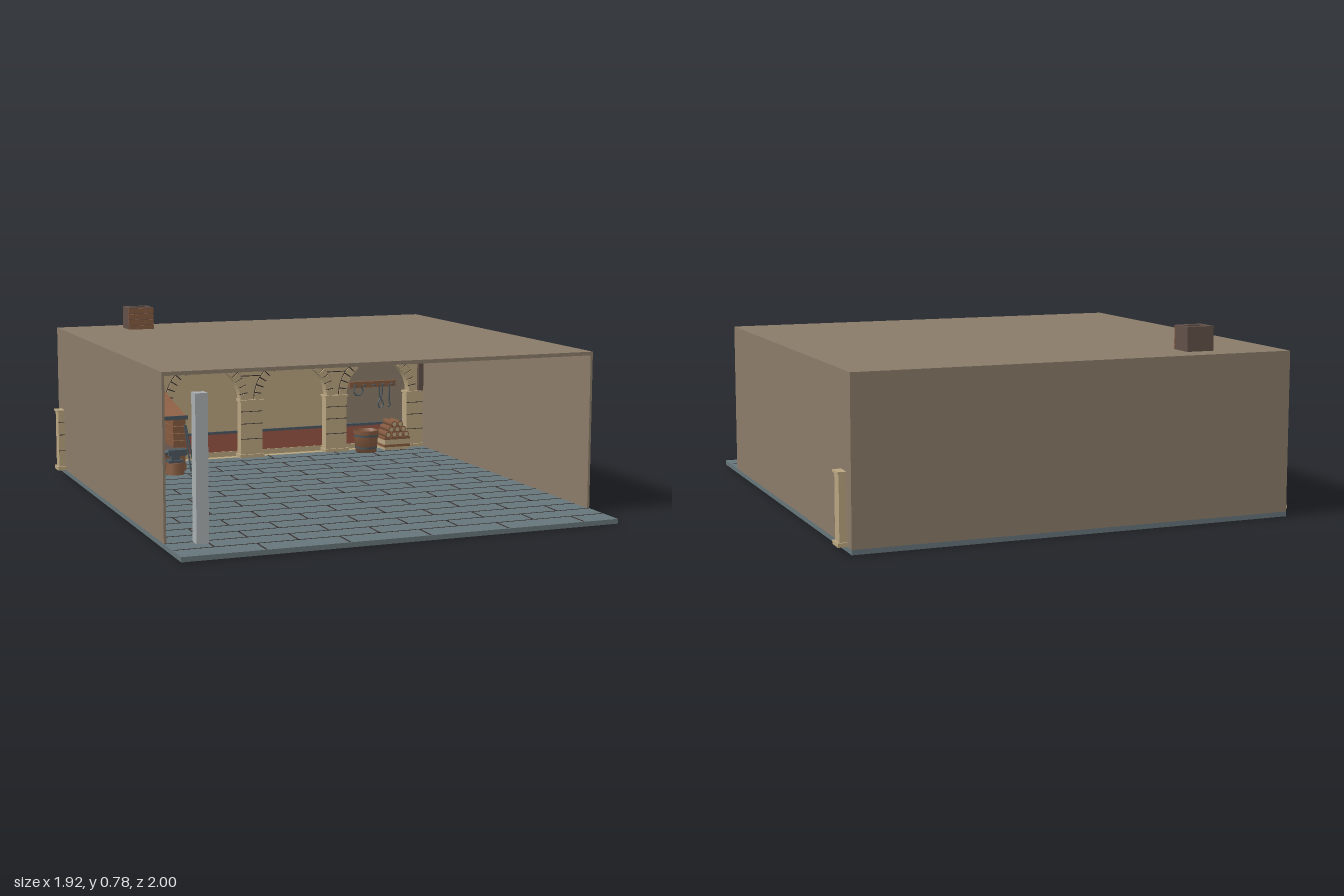
import * as THREE from 'three';

const mat = (name, color) => {
  const m = new THREE.MeshStandardMaterial({ color, side: THREE.DoubleSide });
  m.name = name;
  return m;
};

export function createModel() {
  const M = {
    wall: mat('brown plaster', 0x8a7b69),
    tan: mat('sandstone', 0xb8a47f),
    copper: mat('copper brick', 0x9c694b),
    brick: mat('brick and timber', 0x845a40),
    seam: mat('dark joint', 0x3a3230),
    floor: mat('slate floor', 0x66757a),
    post: mat('grey post', 0xa9aeb0),
    red: mat('red dado', 0x985546),
    iron: mat('iron', 0x4c585f),
    mortar: mat('sooty brick', 0x625049),
  };
  const root = new THREE.Group();

  const add = (name, geo, m, x = 0, y = 0, z = 0, parent = root) => {
    const mesh = new THREE.Mesh(geo, m);
    mesh.name = name;
    mesh.position.set(x, y, z);
    parent.add(mesh);
    return mesh;
  };
  // Box given by its limits on each axis
  const box = (name, m, x0, x1, y0, y1, z0, z1, parent = root) =>
    add(name, new THREE.BoxGeometry(x1 - x0, y1 - y0, z1 - z0), m,
      (x0 + x1) / 2, (y0 + y1) / 2, (z0 + z1) / 2, parent);
  const group = (name, x = 0, y = 0, z = 0) => {
    const g = new THREE.Group();
    g.name = name;
    g.position.set(x, y, z);
    root.add(g);
    return g;
  };
  const rect = (P, x0, x1, y0, y1) => {
    const p = new P();
    p.moveTo(x0, y0); p.lineTo(x1, y0); p.lineTo(x1, y1); p.lineTo(x0, y1); p.closePath();
    return p;
  };
  const extrude = (shape, depth) =>
    new THREE.ExtrudeGeometry(shape, { depth, bevelEnabled: false, curveSegments: 20 });
  // Horizontal slab with a flue hole, extruded upwards; shape y runs along -z
  const holed = (name, m, outer, hole, y0, y1) => {
    const s = rect(THREE.Shape, ...outer);
    s.holes.push(rect(THREE.Path, ...hole));
    return add(name, extrude(s, y1 - y0).rotateX(-Math.PI / 2), m, 0, y0, 0);
  };
  const flue = [-0.615, -0.535, 0.81, 0.87];

  // Floor slab with staggered paving joints
  box('floor', M.floor, -0.925, 0.925, 0, 0.02, -1, 1);
  const paving = group('pavingJoints');
  for (let r = 0; r < 17; r++) {
    const z = 1 - r * 0.113;
    if (r) box('rowJoint', M.seam, -0.92, 0.92, 0.02, 0.0215, z - 0.002, z + 0.002, paving);
    for (let x = -0.92 + (r % 2 ? 0.16 : 0.33); x < 0.92; x += 0.34)
      box('crossJoint', M.seam, x - 0.003, x + 0.003, 0.02, 0.0215, z - 0.105, z - 0.005, paving);
  }

  // Outer shell
  for (const s of [-1, 1])
    box('sideWall', M.wall, s * 0.92 - 0.005, s * 0.92 + 0.005, 0.02, 0.665, -1, 0.77);
  box('backWall', M.wall, -0.915, 0.915, 0.02, 0.665, -1, -0.985);
  holed('roof', M.wall, [-0.925, 0.925, -0.77, 1], flue, 0.665, 0.68);
  box('frontPost', M.post, -0.81, -0.76, 0.02, 0.6, 0.77, 0.82);

  // Arcade wall with four round arches
  const arches = [-0.67, -0.225, 0.225, 0.67];
  const arcade = rect(THREE.Shape, -0.9, 0.9, 0.02, 0.664);
  for (const x of arches) {
    const h = new THREE.Path();
    h.moveTo(x - 0.17, 0.021);
    h.lineTo(x + 0.17, 0.021);
    h.lineTo(x + 0.17, 0.3);
    h.absarc(x, 0.3, 0.17, 0, Math.PI, false);
    h.closePath();
    arcade.holes.push(h);
  }
  add('arcadeWall', extrude(arcade, 0.04), M.tan, 0, 0, -0.94);

  // Voussoirs over a dark joint ring
  const sector = (r0, r1, a0, a1) => {
    const s = new THREE.Shape();
    s.absarc(0, 0, r1, a0, a1, false);
    s.absarc(0, 0, r0, a1, a0, true);
    s.closePath();
    return s;
  };
  arches.forEach((x) => {
    const g = group('archRing', x, 0.3, -0.9);
    add('archJoints', extrude(sector(0.172, 0.211, 0, Math.PI), 0.006), M.seam, 0, 0, 0, g);
    const n = 17, step = Math.PI / n;
    for (let i = 0; i < n; i++)
      add('voussoir', extrude(sector(0.17, 0.209, i * step + 0.014, (i + 1) * step - 0.014), 0.012),
        M.tan, 0, 0, 0, g);
  });

  // Pillars with base, capital and course joints
  for (const x of [-0.89, -0.445, 0, 0.445, 0.89]) {
    const g = group('pillar', x, 0, 0);
    const w = Math.abs(x) > 0.8 ? 0.064 : 0.055;
    box('shaft', M.tan, -w, w, 0.02, 0.3, -0.94, -0.885, g);
    box('base', M.tan, -w - 0.008, w + 0.008, 0.02, 0.036, -0.948, -0.875, g);
    box('capital', M.tan, -w - 0.006, w + 0.006, 0.294, 0.304, -0.945, -0.877, g);
    for (const y of [0.11, 0.185, 0.245])
      box('courseJoint', M.seam, -w, w, y, y + 0.003, -0.886, -0.884, g);
  }
  for (const s of [-1, 1])
    box('cornerStrip', M.mortar, s * 0.9025 - 0.0125, s * 0.9025 + 0.0125, 0.3, 0.664, -0.94, -0.88);

  // Scattered masonry joints on the upper wall
  const joints = group('wallJoints');
  const courses = [[-0.45, -0.02, 0.632], [0, 0.45, 0.632], [-0.88, -0.65, 0.58], [-0.32, 0, 0.578],
    [0.12, 0.44, 0.58], [-0.46, -0.3, 0.525], [0.0, 0.12, 0.528], [0.55, 0.89, 0.525], [-0.06, 0.08, 0.49],
    [-0.06, 0.06, 0.42], [0.4, 0.5, 0.42], [-0.88, -0.8, 0.49]];
  for (const [a, b, y] of courses)
    box('bedJoint', M.seam, a, b, y - 0.002, y + 0.002, -0.9, -0.898, joints);
  for (let i = 0; i < 30; i++) {
    const x = -0.86 + i * 0.0593, y = 0.53 + ((i * 37) % 11) * 0.011;
    box('headJoint', M.seam, x - 0.003, x + 0.003, y, y + 0.02, -0.9, -0.898, joints);
  }

  // Recess panels and red dado
  box('recessPanel', M.tan, -0.445, 0.445, 0.02, 0.5, -0.965, -0.955);
  box('recessPlinth', M.tan, -0.9, 0.9, 0.02, 0.045, -0.97, -0.945);
  box('dado', M.red, -0.9, 0.9, 0.045, 0.133, -0.97, -0.95);
  box('dadoCap', M.iron, -0.9, 0.9, 0.133, 0.145, -0.97, -0.945);

  // Chimney: sooty flue, brick facing and collar
  holed('chimney', M.mortar, [-0.635, -0.517, 0.785, 0.89], flue, 0.46, 0.78);
  const facing = group('chimneyBricks', -0.576, 0, -0.782);
  for (let i = 0; i < 12; i++) {
    const y = 0.463 + i * 0.0265, split = i % 2 ? 0.02 : -0.02;
    box('brick', M.brick, -0.059, split - 0.002, y, y + 0.0235, -0.004, 0.004, facing);
    box('brick', M.brick, split + 0.002, 0.059, y, y + 0.0235, -0.004, 0.004, facing);
  }
  box('chimneyCollar', M.tan, -0.655, -0.5, 0.65, 0.663, -0.9, -0.77);

  // Open hood, tapering from hearth to chimney
  const hoodGeo = new THREE.BoxGeometry(1, 1, 1, 1, 6, 1);
  const p = hoodGeo.attributes.position;
  const lerp = THREE.MathUtils.lerp;
  for (let i = 0; i < p.count; i++) {
    const t = p.getY(i) + 0.5, k = 1 - Math.pow(1 - t, 1.3);
    p.setXYZ(i, p.getX(i) * lerp(0.35, 0.12, k), 0.28 + t * 0.19,
      p.getZ(i) * lerp(0.25, 0.11, k) + lerp(-0.775, -0.836, k));
  }
  const idx = [...hoodGeo.index.array];
  const caps = hoodGeo.groups.filter((g) => g.materialIndex === 2 || g.materialIndex === 3);
  hoodGeo.setIndex(idx.filter((_, i) => !caps.some((c) => i >= c.start && i < c.start + c.count)));
  hoodGeo.clearGroups();
  const flatHood = hoodGeo.toNonIndexed();
  flatHood.computeVertexNormals();
  add('hood', flatHood, M.copper, -0.576);
  holed('hoodRim', M.iron, [-0.755, -0.397, 0.645, 0.903], [-0.735, -0.417, 0.665, 0.885], 0.265, 0.283);

  // Brick hearth
  const hearth = group('hearth', -0.576, 0, 0);
  box('hearthCore', M.mortar, -0.172, 0.172, 0.02, 0.125, -0.895, -0.664, hearth);
  box('hearthBack', M.mortar, -0.17, 0.17, 0.125, 0.265, -0.9, -0.885, hearth);
  for (let r = 0; r < 3; r++)
    for (let i = 0; i < 4; i++) {
      const a = Math.max(-0.175, -0.175 + (i - (r % 2) * 0.5) * 0.1);
      const b = Math.min(0.175, -0.175 + (i + 1 - (r % 2) * 0.5) * 0.1 - 0.005);
      box('hearthBrick', M.brick, a, b, 0.022 + r * 0.036, 0.054 + r * 0.036, -0.67, -0.66, hearth);
    }
  for (const s of [-1, 1])
    for (let r = 0; r < 4; r++)
      box('hearthPier', M.brick, s * 0.145 - 0.03, s * 0.145 + 0.03,
        0.13 + r * 0.034, 0.161 + r * 0.034, -0.9, -0.67, hearth);

  // Glowing coals and sticks
  for (let i = 0; i < 16; i++) {
    const a = i * 2.4, r = 0.022 * Math.sqrt(i);
    add('coal', new THREE.IcosahedronGeometry(0.02), [M.red, M.mortar, M.copper][i % 3],
      Math.cos(a) * r, 0.165 - r * 0.35, -0.82 + Math.sin(a) * r * 0.6, hearth);
  }
  for (let i = 0; i < 4; i++) {
    const stick = add('firewood', new THREE.CylinderGeometry(0.008, 0.008, 0.11, 6), M.brick,
      -0.045 + i * 0.03, 0.165, -0.77, hearth);
    stick.rotation.set(0.4, 0, i % 2 ? 0.9 : -0.9);
  }

  // Anvil on its block
  const anvil = group('anvil', -0.475, 0, -0.6);
  add('anvilBlock', new THREE.CylinderGeometry(0.038, 0.045, 0.055, 10), M.brick, 0, 0.0475, 0, anvil);
  box('anvilFoot', M.iron, -0.035, 0.035, 0.075, 0.087, -0.025, 0.025, anvil);
  box('anvilWaist', M.iron, -0.02, 0.02, 0.087, 0.108, -0.015, 0.015, anvil);
  box('anvilFace', M.iron, -0.035, 0.055, 0.108, 0.135, -0.022, 0.022, anvil);
  add('anvilHorn', new THREE.ConeGeometry(0.014, 0.05, 8).rotateZ(Math.PI / 2), M.iron, -0.06, 0.123, 0, anvil);

  // Pokers leaning on the hearth
  for (let i = 0; i < 2; i++) {
    const poker = add('poker', new THREE.CylinderGeometry(0.004, 0.004, 0.22, 6), M.iron, -0.4 + i * 0.012, 0.13, -0.64);
    poker.rotation.set(-0.1, 0, 0.1 + i * 0.06);
  }

  // Hooped tub
  const tub = group('tub', 0.582, 0, -0.83);
  const tubProfile = [[0, 0.022], [0.052, 0.022], [0.064, 0.13], [0.056, 0.13], [0.05, 0.1], [0, 0.1]];
  add('tubStaves', new THREE.LatheGeometry(tubProfile.map(([x, y]) => new THREE.Vector2(x, y)), 14), M.brick, 0, 0, 0, tub);
  for (const y of [0.045, 0.105])
    add('hoop', new THREE.CylinderGeometry(0.0555 + (y - 0.04) * 0.11, 0.0545 + (y - 0.04) * 0.11, 0.01, 14, 1, true),
      M.iron, 0, y, 0, tub);

  // Log crate
  const crate = group('logCrate', 0.727, 0, -0.83);
  box('crateBody', M.tan, -0.065, 0.065, 0.03, 0.082, -0.05, 0.05, crate);
  for (const y of [0.045, 0.082])
    box('crateRail', M.brick, -0.07, 0.07, y, y + 0.012, -0.055, 0.055, crate);
  [4, 3, 2].forEach((n, r) => {
    for (let i = 0; i < n; i++) {
      const x = (i - (n - 1) / 2) * 0.032, y = 0.107 + r * 0.026;
      add('log', new THREE.CylinderGeometry(0.016, 0.016, 0.11, 8).rotateX(Math.PI / 2), M.brick, x, y, 0, crate);
      add('logEnd', new THREE.CircleGeometry(0.011, 8), M.tan, x, y, 0.056, crate);
    }
  });

  // Tool rack
  const rack = group('toolRack', 0.675, 0, -0.97);
  box('rackBoard', M.brick, -0.125, 0.125, 0.322, 0.352, -0.015, 0.005, rack);
  for (let i = 0; i < 5; i++)
    add('peg', new THREE.CylinderGeometry(0.005, 0.005, 0.025, 6).rotateX(Math.PI / 2), M.iron, -0.1 + i * 0.05, 0.335, 0.015, rack);
  add('horseshoe', new THREE.TorusGeometry(0.024, 0.004, 6, 14, Math.PI * 1.5), M.iron, -0.085, 0.31, 0.018, rack).rotation.z = Math.PI * 0.75;
  const bent = (name, pts) => add(name, new THREE.TubeGeometry(
    new THREE.CatmullRomCurve3(pts.map(([x, y]) => new THREE.Vector3(x, y, 0.018))), 14, 0.004, 6), M.iron, 0, 0, 0, rack);
  for (const s of [-1, 1])
    bent('tongs', [[0.037 + s * 0.008, 0.33], [0.037 + s * 0.006, 0.28], [0.037 - s * 0.004, 0.26], [0.037 - s * 0.014, 0.235], [0.037 - s * 0.004, 0.218]]);
  bent('hook', [[0.085, 0.335], [0.084, 0.25], [0.09, 0.225], [0.077, 0.222]]);

  return root;
}
